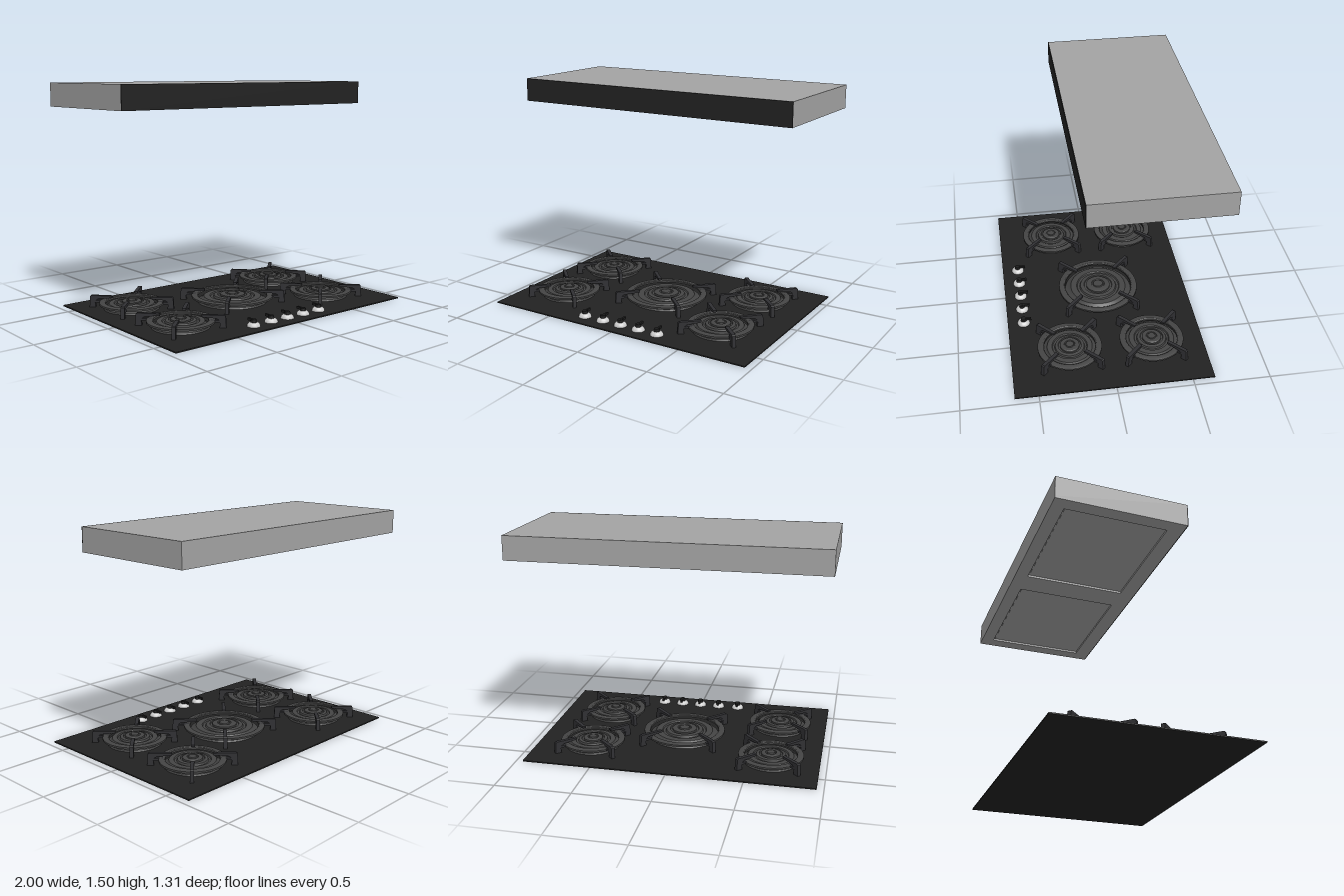
import * as THREE from 'three';
import { toCreasedNormals } from 'three/addons/utils/BufferGeometryUtils.js';

const mat = (name, color) => Object.assign(new THREE.MeshStandardMaterial({ color }), { name });

export function createModel() {
  const steel = mat('brushed steel', 0xa3a3a3);
  const black = mat('black glass', 0x222222);
  const iron = mat('cast iron', 0x303033);
  const enamel = mat('burner enamel', 0x444444);
  const silver = mat('knob silver', 0xcccccc);
  const gripBlack = mat('grip black', 0x1c1c1c);

  const model = new THREE.Group();
  model.name = 'hobAndHood';

  const add = (parent, name, geometry, material, x = 0, y = 0, z = 0) => {
    const mesh = new THREE.Mesh(geometry, material);
    mesh.name = name;
    mesh.position.set(x, y, z);
    parent.add(mesh);
    return mesh;
  };
  const lathe = (points, sides = 48) => toCreasedNormals(
    new THREE.LatheGeometry(points.map(p => new THREE.Vector2(...p)), sides), 0.5);
  const polygon = (points) => new THREE.Shape(points.map(p => new THREE.Vector2(...p)));
  const rect = (x0, x1, y0, y1) => [[x0, y0], [x1, y0], [x1, y1], [x0, y1]];

  // Hood: closed box on a frame with two recessed filter bays
  const hood = new THREE.Group();
  hood.name = 'hood';
  model.add(hood);
  const bay = 0.014;
  add(hood, 'hoodBody', new THREE.BoxGeometry(2, 0.155 - bay, 0.853), steel, 0, 1.345 + bay + (0.155 - bay) / 2, -0.2315);
  const frame = polygon(rect(-1, 1, -0.658, 0.195));
  for (const [x0, x1] of [[-0.91, -0.09], [0.09, 0.91]]) {
    frame.holes.push(polygon(rect(x0, x1, -0.574, 0.097)));
    add(hood, 'filterPanel', new THREE.BoxGeometry(0.8, 0.004, 0.651), steel, (x0 + x1) / 2, 1.345 + bay, -0.2385);
  }
  const frameGeo = new THREE.ExtrudeGeometry(frame, { depth: bay, bevelEnabled: false });
  frameGeo.rotateX(Math.PI / 2);
  add(hood, 'filterFrame', frameGeo, steel, 0, 1.345 + bay, 0);
  add(hood, 'hoodFront', new THREE.BoxGeometry(2, 0.155, 0.006), black, 0, 1.4225, 0.198);

  // Hob plate
  add(model, 'hobPlate', new THREE.BoxGeometry(1.91, 0.008, 1.3), black, 0, 0.004, 0.005);

  // One burner with ring frame, stepped crown, cap and four pan supports
  const addBurner = (x, z, r, footR, armR) => {
    const burner = new THREE.Group();
    burner.name = 'burner';
    burner.position.set(x, 0, z);
    model.add(burner);

    add(burner, 'ringFrame', lathe([
      [r, 0.038], [r, 0.05], [r - 0.008, 0.054], [r - 0.036, 0.054],
      [r - 0.042, 0.05], [r - 0.042, 0.038], [r, 0.038]]), enamel);
    add(burner, 'burnerBase', lathe([
      [r * 0.86, 0.008], [r * 0.84, 0.018], [r * 0.74, 0.03], [r * 0.7, 0.044],
      [r * 0.55, 0.046], [r * 0.53, 0.038], [r * 0.47, 0.038], [r * 0.45, 0.05],
      [r * 0.36, 0.054], [r * 0.35, 0.046], [0, 0.046]]), enamel);
    add(burner, 'burnerCap', lathe([
      [r * 0.3, 0.046], [r * 0.3, 0.058], [r * 0.27, 0.062], [r * 0.17, 0.062],
      [r * 0.16, 0.057], [r * 0.13, 0.057], [r * 0.12, 0.065], [0, 0.065]]), enamel);

    // Support outline: foot, upright leg, tapering arm and a bridge to the ring
    const side = polygon([
      [footR, 0.008], [footR - 0.004, 0.082], [footR - 0.012, 0.088],
      [armR, 0.086], [armR, 0.073], [footR - 0.06, 0.066], [footR - 0.042, 0.054],
      [r - 0.03, 0.054], [r - 0.03, 0.04], [footR - 0.038, 0.04], [footR - 0.042, 0.008]]);
    const support = new THREE.ExtrudeGeometry(side, { depth: 0.024, bevelEnabled: false });
    support.translate(0, 0, -0.012);
    for (let i = 0; i < 4; i++) {
      add(burner, 'panSupport', support, iron).rotation.y = Math.PI / 4 + i * Math.PI / 2;
    }
  };
  for (const x of [-0.633, 0.583]) {
    for (const z of [0.26, -0.295]) addBurner(x, z, 0.215, 0.285, 0.13);
  }
  addBurner(0.005, -0.015, 0.28, 0.36, 0.19);

  // Control knobs: domed silver skirt, dark stem and a grip pointing back
  const skirt = lathe([[0.043, 0.008], [0.042, 0.016], [0.036, 0.026], [0.026, 0.033], [0, 0.035]], 32);
  const stem = new THREE.CylinderGeometry(0.018, 0.02, 0.018, 24);
  const grip = new THREE.BoxGeometry(0.014, 0.016, 0.07);
  for (const x of [-0.282, -0.137, 0.002, 0.14, 0.28]) {
    const knob = new THREE.Group();
    knob.name = 'knob';
    knob.position.set(x, 0, 0.545);
    model.add(knob);
    add(knob, 'knobSkirt', skirt, silver);
    add(knob, 'knobStem', stem, gripBlack, 0, 0.042, 0);
    add(knob, 'knobGrip', grip, gripBlack, 0, 0.044, -0.018);
  }
  return model;
}
